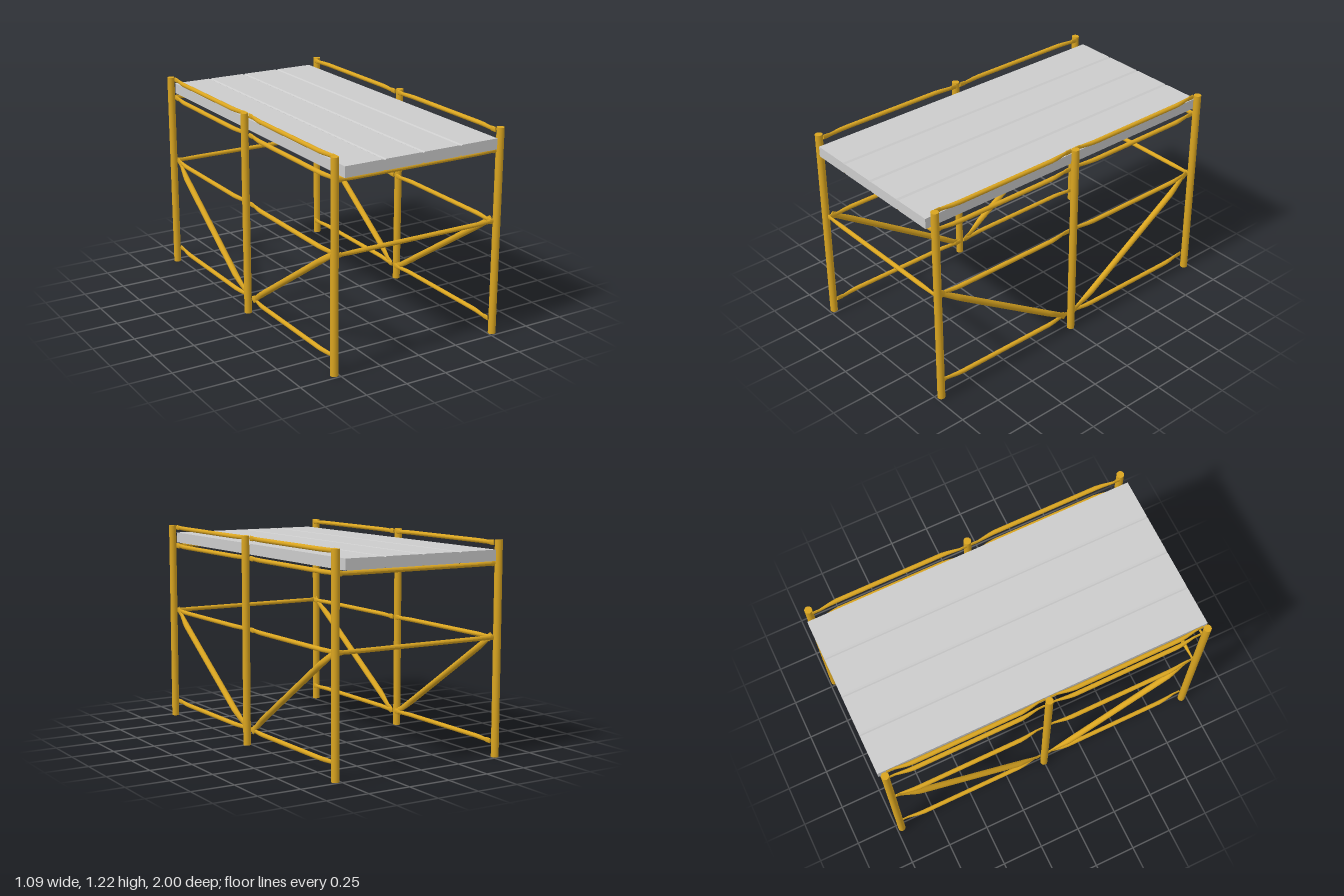
import * as THREE from 'three';

const gold = new THREE.MeshStandardMaterial({ color: 0xdaa520 });
const grey = new THREE.MeshStandardMaterial({ color: 0xcccccc });

const POST_X = 0.525, POST_Z = 0.97, POST_R = 0.022, POST_H = 1.215;
const v = (x, y, z) => new THREE.Vector3(x, y, z);

// Round tube from a to b whose ends are pressed flat; n is the thin direction,
// and the flat tabs are shifted along n by the given offset.
function pressedTube(name, a, b, n, r, offset, taper = 0.11) {
  const dir = b.clone().sub(a);
  const len = dir.length();
  dir.normalize();
  // distance from the end, half width, half thickness, shift
  const end = [
    [0, r * 1.15, 0.005, offset],
    [0.034, r * 1.15, 0.005, offset],
    [0.042, r * 0.9, 0.006, offset],
    [taper, r, r * 0.85, offset * 0.25],
    [taper + 0.04, r, r, 0],
  ];
  const rings = [...end, ...end.slice().reverse().map(([d, ...s]) => [len - d, ...s])];
  const geo = new THREE.CylinderGeometry(1, 1, 1, 16, rings.length - 1);
  const p = geo.attributes.position;
  for (let i = 0; i < p.count; i++) {
    const [d, w, t, s] = rings[Math.round((p.getY(i) + 0.5) * (rings.length - 1))];
    p.setXYZ(i, p.getX(i) * w, d, p.getZ(i) * t + s);
  }
  geo.computeVertexNormals();
  const side = dir.clone().cross(n).normalize();
  geo.applyMatrix4(new THREE.Matrix4().makeBasis(side, dir, n).setPosition(a));
  const mesh = new THREE.Mesh(geo, gold);
  mesh.name = name;
  return mesh;
}

// Plank with chamfered long edges, running along z
function plank(x0, x1, chamferLeft, chamferRight) {
  const y0 = 1.103, y1 = 1.165, h = 0.005;
  const l = chamferLeft ? 0.01 : 0, r = chamferRight ? 0.01 : 0;
  const hl = l ? h : 0, hr = r ? h : 0;
  const pts = [[x0 + l, y0], [x1 - r, y0]];
  if (r) pts.push([x1, y0 + hr], [x1, y1 - hr]);
  pts.push([x1 - r, y1], [x0 + l, y1]);
  if (l) pts.push([x0, y1 - hl], [x0, y0 + hl]);
  const shape = new THREE.Shape(pts.map(([x, y]) => new THREE.Vector2(x, y)));
  const geo = new THREE.ExtrudeGeometry(shape, { depth: 2, bevelEnabled: false });
  geo.translate(0, 0, -1);
  const mesh = new THREE.Mesh(geo, grey);
  mesh.name = 'deckPlank';
  return mesh;
}

export function createModel() {
  const model = new THREE.Group();
  model.name = 'scaffoldPlatform';

  // Six upright posts
  const postGeo = new THREE.CylinderGeometry(POST_R, POST_R, POST_H, 24);
  postGeo.translate(0, POST_H / 2, 0);
  for (const sx of [-1, 1]) {
    for (const z of [-POST_Z, 0, POST_Z]) {
      const post = new THREE.Mesh(postGeo, gold);
      post.name = 'post';
      post.position.set(sx * POST_X, 0, z);
      model.add(post);
    }
  }

  // Side frames: four rails and one brace in each bay
  for (const sx of [-1, 1]) {
    const frame = new THREE.Group();
    frame.name = sx > 0 ? 'leftSideFrame' : 'rightSideFrame';
    const x = sx * 0.515;
    const inward = v(-sx, 0, 0);
    for (const sz of [-1, 1]) {
      for (const y of [0.09, 0.675, 1.085, 1.2]) {
        frame.add(pressedTube('sideRail', v(x, y, sz * 0.015), v(x, y, sz * 0.955), inward, 0.013, 0.012));
      }
      frame.add(pressedTube('diagonalBrace', v(x, 0.085, sz * 0.03), v(x, 0.685, sz * 0.945), inward, 0.018, 0.009, 0.13));
    }
    model.add(frame);
  }

  // Cross rails joining the end posts
  for (const sz of [-1, 1]) {
    for (const y of [0.677, 1.086]) {
      model.add(pressedTube('crossRail', v(-0.52, y, sz * 0.965), v(0.52, y, sz * 0.965), v(0, 0, sz), 0.013, 0));
    }
  }

  // Deck of four planks
  const deck = new THREE.Group();
  deck.name = 'deck';
  const w = 0.966 / 4;
  for (let i = 0; i < 4; i++) {
    deck.add(plank(-0.483 + i * w, -0.483 + (i + 1) * w, i > 0, i < 3));
  }
  model.add(deck);
  return model;
}
